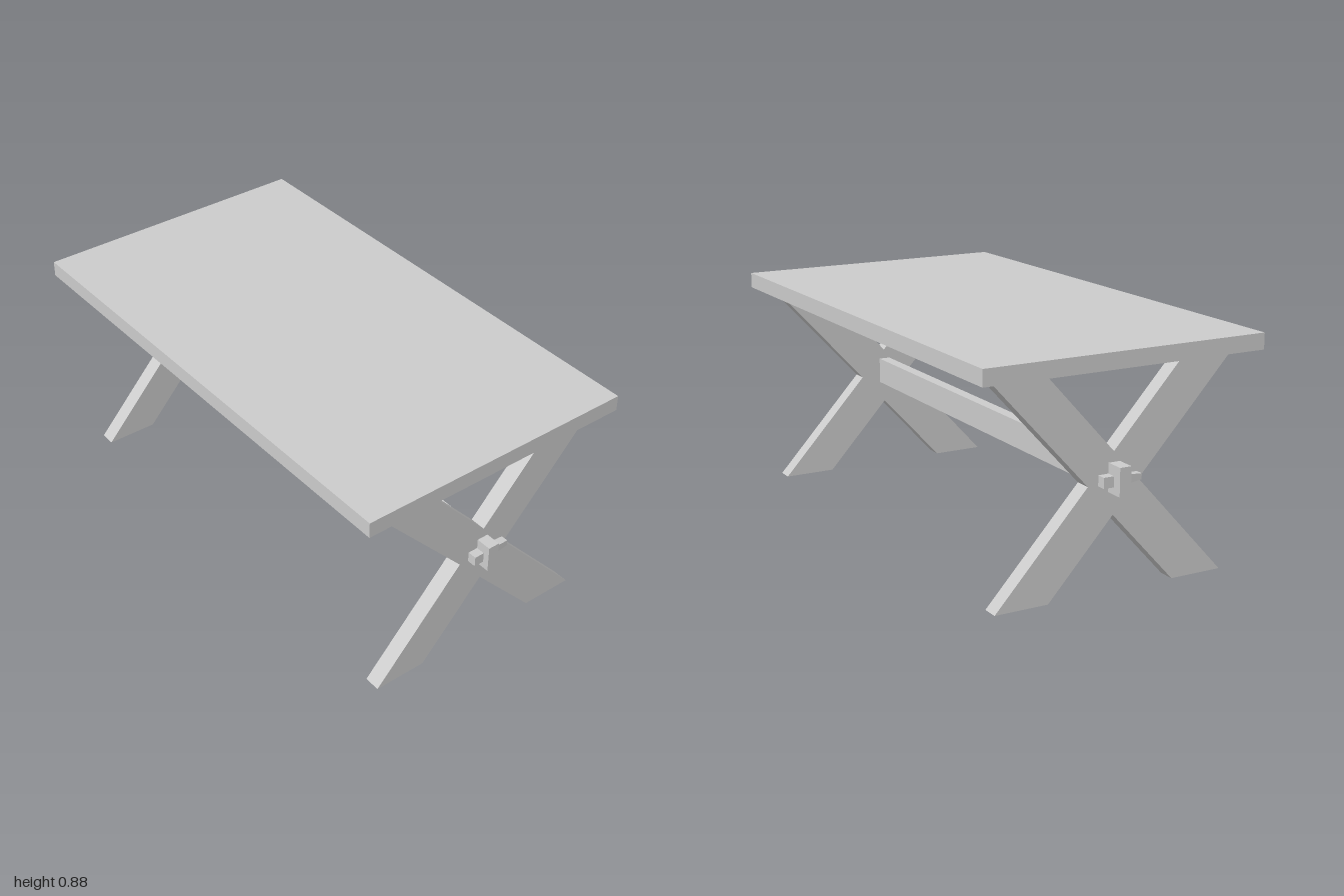
import * as THREE from 'three';

const material = new THREE.MeshStandardMaterial({ color: 0xcccccc, flatShading: true });
const CX = 0.01; // centre line of the trestles

function addMesh(parent, name, geometry, x = 0, y = 0, z = 0) {
  const mesh = new THREE.Mesh(geometry, material);
  mesh.name = name;
  mesh.position.set(x, y, z);
  parent.add(mesh);
  return mesh;
}

// X-shaped trestle cut from one outline, mirrored about its centre line
function trestleGeometry() {
  const right = [[0, 0.281], [0.258, 0], [0.468, 0], [0.104, 0.397], [0.493, 0.817], [0.282, 0.817], [0, 0.51]];
  const left = right.slice(1, -1).reverse().map(([x, y]) => [-x, y]);
  const shape = new THREE.Shape([...right, ...left].map(([x, y]) => new THREE.Vector2(x, y)));
  return new THREE.ExtrudeGeometry(shape, { depth: 0.063, bevelEnabled: false });
}

// Locking wedge, tapering in height and thickness towards +x; inner face at z = 0
function wedgeGeometry() {
  const geometry = new THREE.BoxGeometry(0.16, 0.04, 0.035, 2, 1, 1);
  const p = geometry.attributes.position;
  for (let i = 0; i < p.count; i++) {
    const t = Math.max(0, p.getX(i) / 0.08);
    p.setY(i, p.getY(i) * (1 - 0.45 * t));
    p.setZ(i, (p.getZ(i) + 0.0175) * (1 - 0.2 * t));
    if (Math.abs(p.getX(i)) < 0.01) p.setX(i, -0.015);
  }
  geometry.computeVertexNormals();
  return geometry;
}

export function createModel() {
  const table = new THREE.Group();
  table.name = 'trestleTable';

  addMesh(table, 'tableTop', new THREE.BoxGeometry(1.127, 0.061, 2), 0, 0.8465, 0);

  // Trestles at both ends
  const trestle = trestleGeometry();
  addMesh(table, 'frontTrestle', trestle, CX, 0, 0.877);
  addMesh(table, 'backTrestle', trestle, CX, 0, -0.929);

  // Long stretcher passing through both trestles
  addMesh(table, 'stretcher', new THREE.BoxGeometry(0.046, 0.105, 2), CX - 0.002, 0.419, 0);

  // Wedges through the stretcher ends, the back one turned half round
  const wedge = wedgeGeometry();
  addMesh(table, 'frontWedge', wedge, 0.025, 0.413, 0.94);
  addMesh(table, 'backWedge', wedge, -0.008, 0.413, -0.929).rotation.y = Math.PI;

  return table;
}
